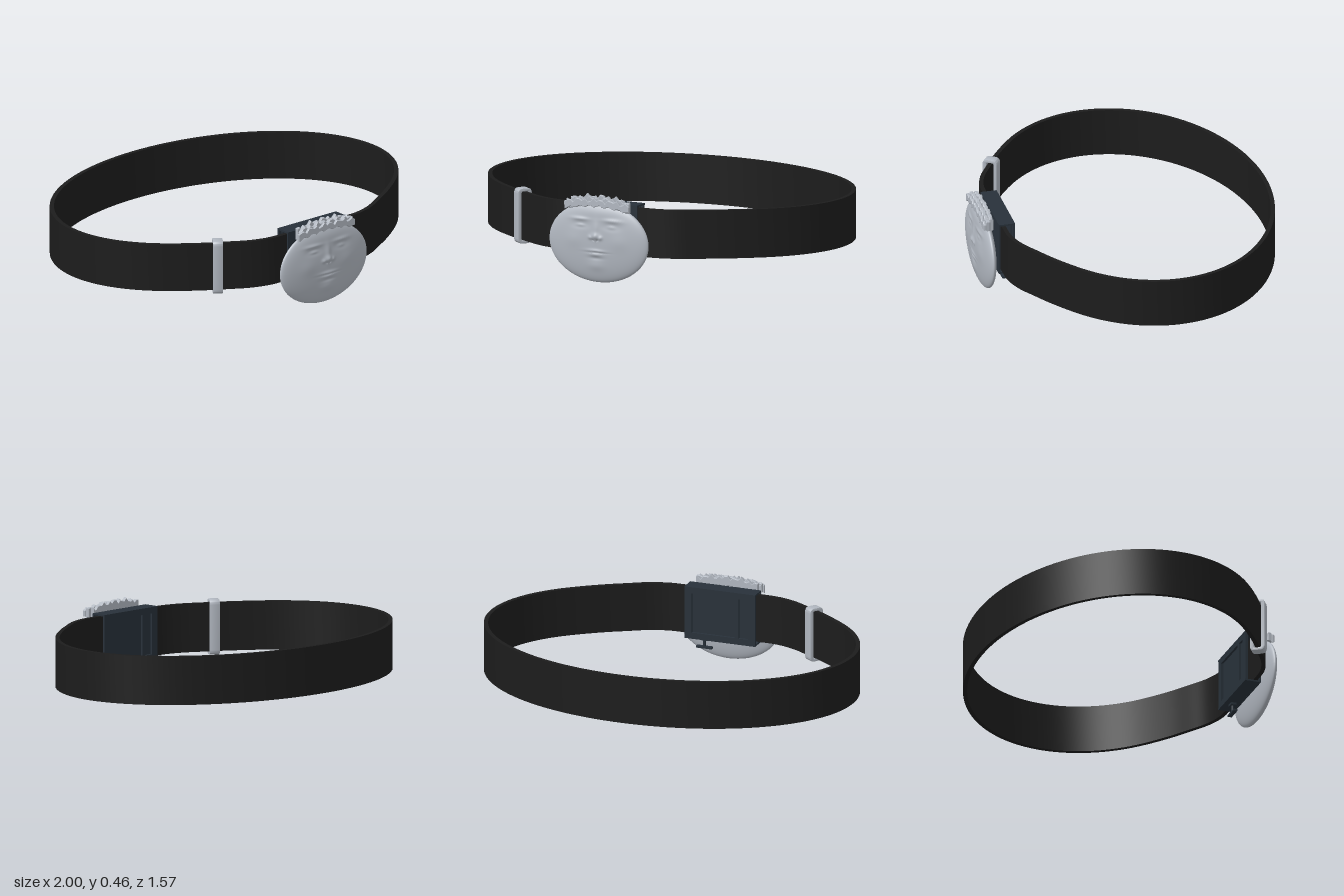
import * as THREE from 'three';
import { toCreasedNormals } from 'three/addons/utils/BufferGeometryUtils.js';

const leather = new THREE.MeshStandardMaterial({ color: 0x1c1c1c });
leather.name = 'black leather';
const slate = new THREE.MeshStandardMaterial({ color: 0x28313a });
slate.name = 'dark slate metal';
const silver = new THREE.MeshStandardMaterial({ color: 0xb2b8c1 });
silver.name = 'silver';

function add(parent, name, geometry, material, x = 0, y = 0, z = 0) {
  const mesh = new THREE.Mesh(geometry, material);
  mesh.name = name;
  mesh.position.set(x, y, z);
  parent.add(mesh);
  return mesh;
}

function box(parent, name, material, w, h, d, x, y, z) {
  return add(parent, name, new THREE.BoxGeometry(w, h, d), material, x, y, z);
}

// Oval strap that flattens out behind the buckle
function strapGeometry() {
  const path = [];
  const half = [[0.2, 0.653], [0.3, 0.648], [0.4, 0.617], [0.5, 0.56], [0.6, 0.5]];
  for (const [x, z] of half) path.push(new THREE.Vector3(x, 0, z));
  for (let i = 0; i <= 18; i++) {
    const a = 0.74 - (i / 18) * (0.74 + Math.PI / 2);
    path.push(new THREE.Vector3(0.988 * Math.cos(a), 0, -0.07 + 0.706 * Math.sin(a)));
  }
  for (let i = path.length - 2; i >= 0; i--) path.push(new THREE.Vector3(-path[i].x, 0, path[i].z));
  const curve = new THREE.CatmullRomCurve3(path, true);
  const outer = [], inner = [], n = 180;
  for (let i = 0; i < n; i++) {
    const p = curve.getPointAt(i / n), t = curve.getTangentAt(i / n);
    const nx = -t.z * 0.011, nz = t.x * 0.011;
    outer.push(new THREE.Vector2(p.x + nx, -p.z - nz));
    inner.push(new THREE.Vector2(p.x - nx, -p.z + nz));
  }
  const wide = Math.max(...outer.map(p => p.x)) > Math.max(...inner.map(p => p.x));
  const shape = new THREE.Shape(wide ? outer : inner);
  shape.holes.push(new THREE.Path(wide ? inner : outer));
  const g = new THREE.ExtrudeGeometry(shape, { depth: 0.253, bevelEnabled: false });
  g.rotateX(-Math.PI / 2);
  return toCreasedNormals(g, 0.6);
}

function roundedRect(Type, w, h, r) {
  const p = new Type(), x = w / 2, y = h / 2;
  p.moveTo(-x + r, -y);
  p.lineTo(x - r, -y); p.quadraticCurveTo(x, -y, x, -y + r);
  p.lineTo(x, y - r); p.quadraticCurveTo(x, y, x - r, y);
  p.lineTo(-x + r, y); p.quadraticCurveTo(-x, y, -x, y - r);
  p.lineTo(-x, -y + r); p.quadraticCurveTo(-x, -y, -x + r, -y);
  return p;
}

// Raised or sunken bump: centre, radii, height
const features = [
  [0.0, 0.285, 0.016, 0.045, 0.005], [0.0, 0.25, 0.022, 0.016, 0.010],
  [0.0, 0.175, 0.05, 0.008, 0.005], [0.0, 0.155, 0.035, 0.009, 0.005],
  [0.0, 0.166, 0.06, 0.003, -0.004], [0.0, 0.095, 0.045, 0.025, 0.004],
  [0.0, 0.136, 0.04, 0.008, -0.003], [0.0, 0.375, 0.12, 0.03, 0.003],
];
for (const s of [-1, 1]) features.push(
  [s * 0.095, 0.335, 0.05, 0.009, 0.005], [s * 0.09, 0.305, 0.042, 0.016, -0.006],
  [s * 0.09, 0.303, 0.026, 0.009, 0.006], [s * 0.03, 0.243, 0.011, 0.010, 0.006],
  [s * 0.012, 0.23, 0.006, 0.005, -0.004], [s * 0.13, 0.225, 0.05, 0.04, 0.003],
);

// Lens-shaped medallion with a face in low relief
function medallionGeometry() {
  const g = new THREE.SphereGeometry(1, 112, 120).rotateX(Math.PI / 2);
  const p = g.attributes.position;
  for (let i = 0; i < p.count; i++) {
    const x = p.getX(i) * 0.287, y = 0.215 + p.getY(i) * 0.21, side = p.getZ(i);
    let z = 0.727 + side * 0.042;
    if (side > 0) for (const [fx, fy, rx, ry, h] of features) {
      z += h * Math.min(1, side * 2) * Math.exp(-(((x - fx) / rx) ** 2) - (((y - fy) / ry) ** 2));
    }
    p.setXYZ(i, x, y, z);
  }
  g.computeVertexNormals();
  return g;
}

// Ragged slab of hair with a leafy upper edge
function crownGeometry(width, base, rise, depth, phase) {
  const shape = new THREE.Shape(), n = 22;
  for (let i = 0; i <= n; i++) {
    const u = i / n * 2 - 1;
    const jag = 0.009 * Math.sin(i * 2.3 + phase) + 0.005 * Math.sin(i * 1.1 + phase * 2);
    const y = base + rise * Math.sqrt(1 - 0.75 * u * u) + jag;
    if (i === 0) shape.moveTo(-width, y); else shape.lineTo(u * width, y);
  }
  for (let i = n; i >= 0; i--) {
    const u = i / n * 2 - 1;
    shape.lineTo(u * width, base - 0.022 * u * u + 0.006 * Math.sin(i * 1.9 + phase));
  }
  return new THREE.ExtrudeGeometry(shape, {
    depth, bevelEnabled: true, bevelThickness: 0.004, bevelSize: 0.003, bevelSegments: 1,
  });
}

export function createModel() {
  const model = new THREE.Group();
  model.name = 'belt';
  add(model, 'strap', strapGeometry(), leather, 0, 0.146, 0);

  // Open-ended sleeve around the strap, with an inset panel at the back
  const sleeve = new THREE.Group();
  sleeve.name = 'buckleSleeve';
  model.add(sleeve);
  box(sleeve, 'frontPlate', slate, 0.39, 0.28, 0.008, 0, 0.273, 0.676);
  for (const y of [0.138, 0.409]) box(sleeve, 'sleeveEdge', slate, 0.39, 0.009, 0.085, 0, y, 0.637);
  for (const y of [0.152, 0.395]) box(sleeve, 'backRail', slate, 0.39, 0.03, 0.012, 0, y, 0.601);
  for (const [x, w] of [[0.175, 0.04], [-0.175, 0.04], [-0.095, 0.018]]) {
    box(sleeve, 'backBar', slate, w, 0.27, 0.012, x, 0.273, 0.601);
  }
  box(sleeve, 'backPanel', slate, 0.36, 0.25, 0.008, 0, 0.273, 0.612);

  // Release peg under the sleeve
  add(sleeve, 'pegStem', new THREE.CylinderGeometry(0.007, 0.007, 0.055, 12), slate, 0.1, 0.11, 0.637);
  box(sleeve, 'pegFoot', slate, 0.085, 0.01, 0.022, 0.1, 0.082, 0.637);
  box(sleeve, 'pegCollar', slate, 0.04, 0.012, 0.03, 0.1, 0.128, 0.637);

  // Face medallion and its crown
  const medallion = new THREE.Group();
  medallion.name = 'medallion';
  model.add(medallion);
  add(medallion, 'face', medallionGeometry(), silver);
  add(medallion, 'mount', new THREE.CylinderGeometry(0.06, 0.06, 0.03, 24).rotateX(Math.PI / 2), slate, 0, 0.25, 0.685);
  add(medallion, 'crownBack', crownGeometry(0.165, 0.405, 0.042, 0.012, 0.5), silver, 0, 0, 0.705);
  add(medallion, 'crownMiddle', crownGeometry(0.18, 0.405, 0.036, 0.014, 2.1), silver, 0, 0, 0.726);
  add(medallion, 'crownFront', crownGeometry(0.185, 0.407, 0.026, 0.008, 4.2), silver, 0, 0, 0.747);

  // Rounded keeper loop on the model's right
  const loop = roundedRect(THREE.Shape, 0.072, 0.282, 0.022);
  loop.holes.push(roundedRect(THREE.Path, 0.045, 0.262, 0.012));
  const loopGeometry = new THREE.ExtrudeGeometry(loop, {
    depth: 0.046, bevelEnabled: true, bevelThickness: 0.003, bevelSize: 0.003, bevelSegments: 2,
  });
  loopGeometry.translate(0, 0, -0.023);
  const keeper = add(model, 'keeperLoop', toCreasedNormals(loopGeometry, 0.6), silver, -0.545, 0.273, 0.534);
  keeper.rotation.y = 0.96;
  return model;
}
